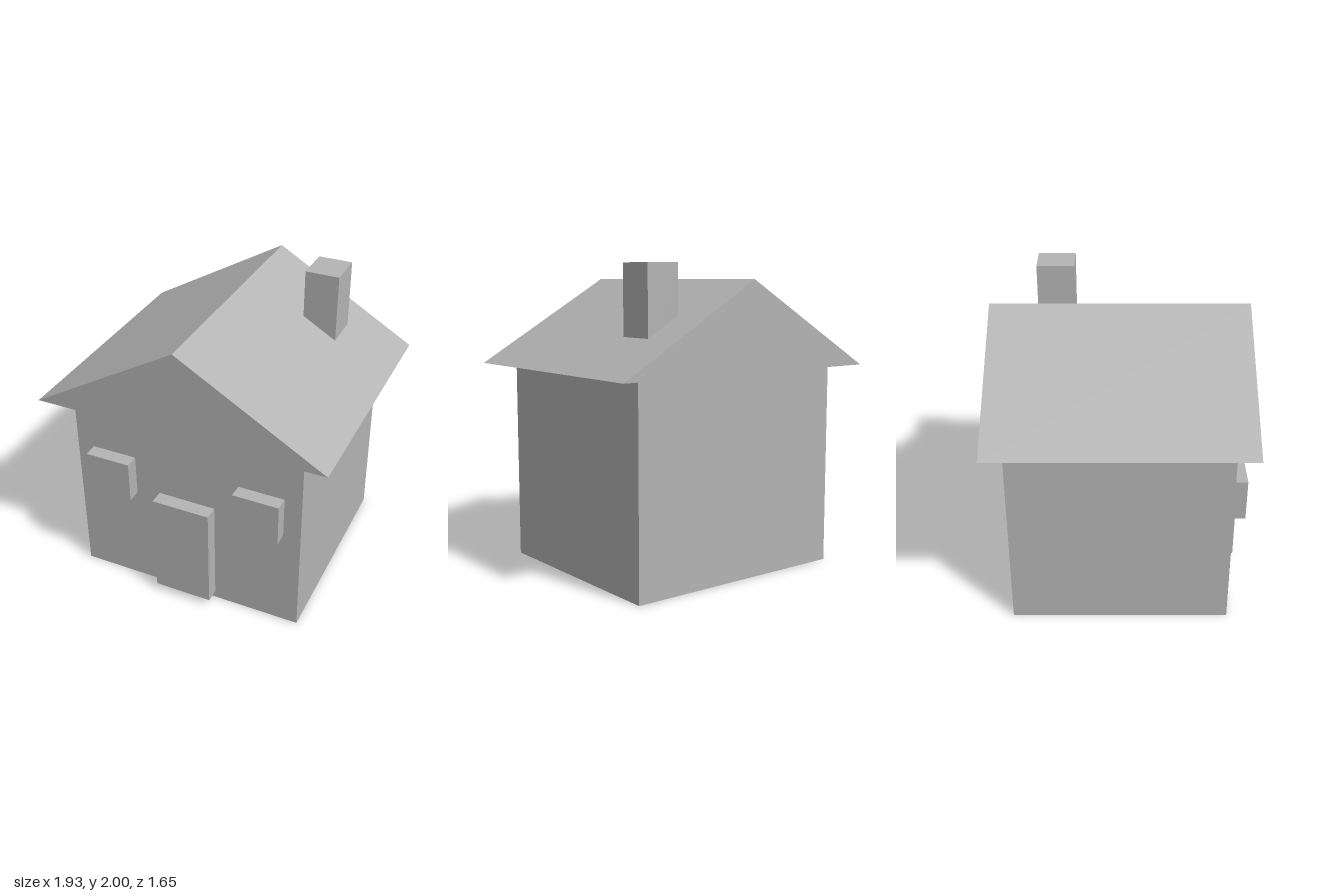
import * as THREE from 'three';

export function createModel() {
  const house = new THREE.Group();
  house.name = 'house';
  // Double sided because the roof is an open shell
  const plainGrey = new THREE.MeshStandardMaterial({ color: 0xb4b4b4, side: THREE.DoubleSide });
  plainGrey.name = 'plainGrey';

  function add(name, geometry) {
    const mesh = new THREE.Mesh(geometry, plainGrey);
    mesh.name = name;
    house.add(mesh);
  }

  // Box given by its lowest and highest corners
  function block(name, [x0, y0, z0], [x1, y1, z1]) {
    const geometry = new THREE.BoxGeometry(x1 - x0, y1 - y0, z1 - z0);
    geometry.translate((x0 + x1) / 2, (y0 + y1) / 2, (z0 + z1) / 2);
    add(name, geometry);
  }

  // Gable roof: two slopes and two gable ends, open underneath
  function roofGeometry(halfWidth, halfDepth, eaveY, ridgeY) {
    const points = [];
    for (const z of [halfDepth, -halfDepth]) {
      points.push(-halfWidth, eaveY, z, halfWidth, eaveY, z, 0, ridgeY, z);
    }
    const indexed = new THREE.BufferGeometry();
    indexed.setAttribute('position', new THREE.Float32BufferAttribute(points, 3));
    indexed.setIndex([
      0, 1, 2, 4, 3, 5, // front and back gables
      1, 4, 5, 1, 5, 2, // left slope
      3, 0, 2, 3, 2, 5, // right slope
    ]);
    const geometry = indexed.toNonIndexed();
    geometry.computeVertexNormals();
    return geometry;
  }

  // Main body
  block('walls', [-0.78, 0, -0.705], [0.78, 1.335, 0.705]);
  add('roof', roofGeometry(0.965, 0.825, 1.335, 1.9));
  block('chimney', [0.37, 1.46, -0.55], [0.595, 2, -0.3]);

  // Front details
  block('door', [-0.195, 0.05, 0.69], [0.195, 0.76, 0.8]);
  block('leftWindow', [0.36, 0.71, 0.69], [0.665, 0.99, 0.797]);
  block('rightWindow', [-0.665, 0.71, 0.69], [-0.36, 0.99, 0.797]);

  return house;
}
